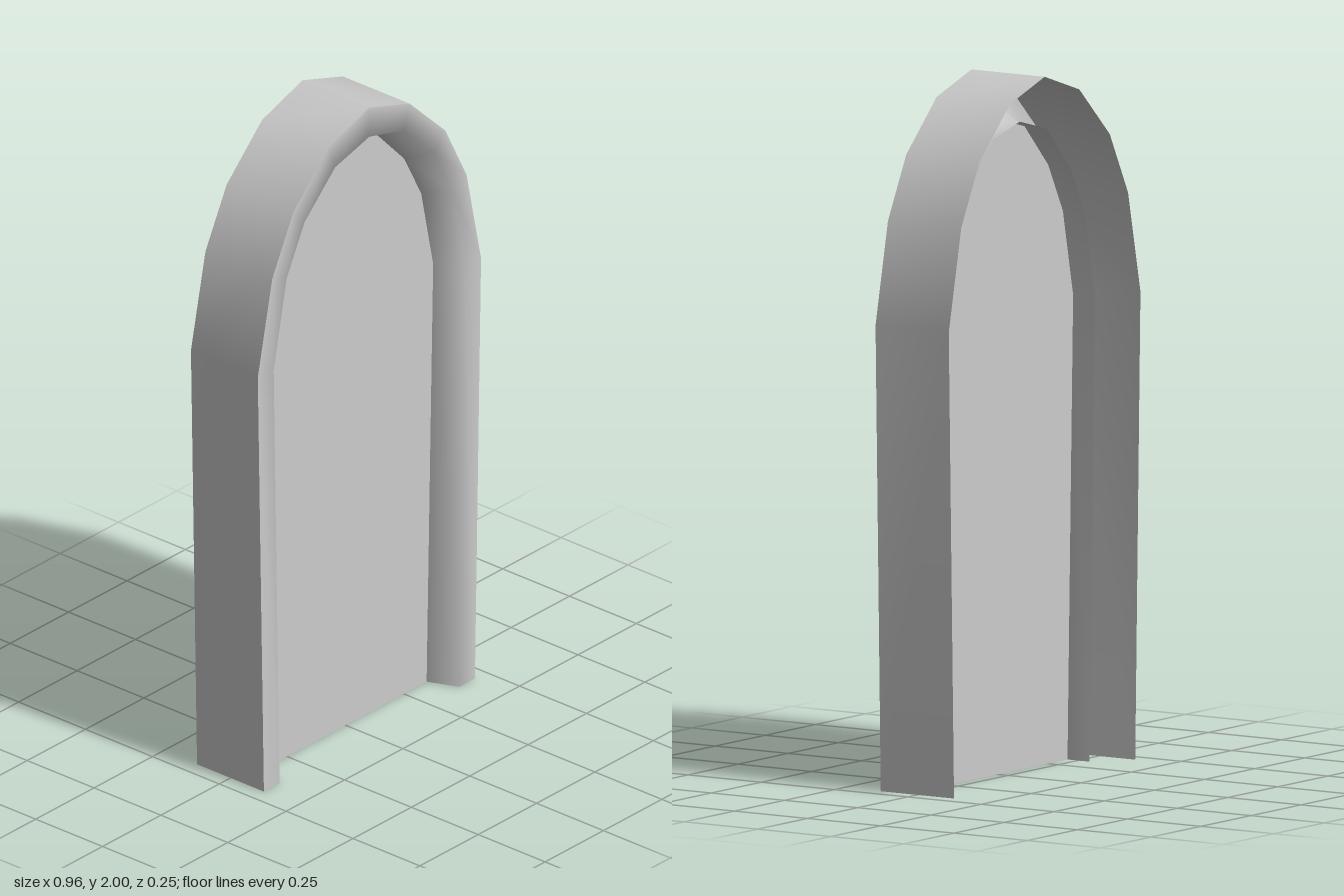
import * as THREE from 'three';

const material = new THREE.MeshStandardMaterial({ color: 0xcccccc, side: THREE.DoubleSide });

// Half outlines [x, y], from the foot up to the apex
const OUTER = [[0.452, 0], [0.478, 1.33], [0.416, 1.62], [0.325, 1.797], [0.173, 1.943], [0, 2]];
const LIP = [[0.385, 0], [0.41, 1.325], [0.355, 1.595], [0.278, 1.745], [0.147, 1.868], [0, 1.907]];
const INNER = [[0.348, 0], [0.376, 1.32], [0.325, 1.565], [0.252, 1.705], [0.133, 1.83], [0, 1.865]];

const FRONT = 0.125, BACK = -0.125, PANEL_Z = 0.035, RETURN_Z = -0.04;

// Mirror a half outline into a whole arch, right foot to left foot
const arch = half => [...half, ...half.slice(0, -1).reverse().map(([x, y]) => [-x, y])];

// Smooth skin across rows of [outline, z]
function loft(name, rows) {
  const n = rows[0][0].length, positions = [], index = [];
  for (const [outline, z] of rows) for (const [x, y] of outline) positions.push(x, y, z);
  for (let r = 0; r < rows.length - 1; r++) {
    for (let i = 0; i < n - 1; i++) {
      const a = r * n + i, b = a + 1, c = a + n, d = c + 1;
      index.push(a, d, c, a, b, d);
    }
  }
  const geometry = new THREE.BufferGeometry();
  geometry.setAttribute('position', new THREE.Float32BufferAttribute(positions, 3));
  geometry.setIndex(index);
  geometry.computeVertexNormals();
  const mesh = new THREE.Mesh(geometry, material);
  mesh.name = name;
  return mesh;
}

export function createModel() {
  const group = new THREE.Group();
  group.name = 'archedDoorway';

  // Outer walls, one per side so the apex stays a sharp ridge
  const outer = arch(OUTER), mid = OUTER.length - 1;
  for (const [name, side] of [['leftOuterWall', outer.slice(0, mid + 1)], ['rightOuterWall', outer.slice(mid)]]) {
    group.add(loft(name, [[side, FRONT], [side, BACK]]));
  }

  // Front rim rolling into the recess, with a short return behind the panel
  group.add(loft('frontRim', [
    [outer, FRONT], [arch(LIP), FRONT], [arch(INNER), PANEL_Z], [arch(INNER), RETURN_Z],
  ]));

  // Recessed panel
  const shape = new THREE.Shape(arch(INNER).map(([x, y]) => new THREE.Vector2(x, y)));
  const panel = new THREE.Mesh(new THREE.ShapeGeometry(shape), material);
  panel.name = 'panel';
  panel.position.z = PANEL_Z;
  group.add(panel);

  return group;
}
